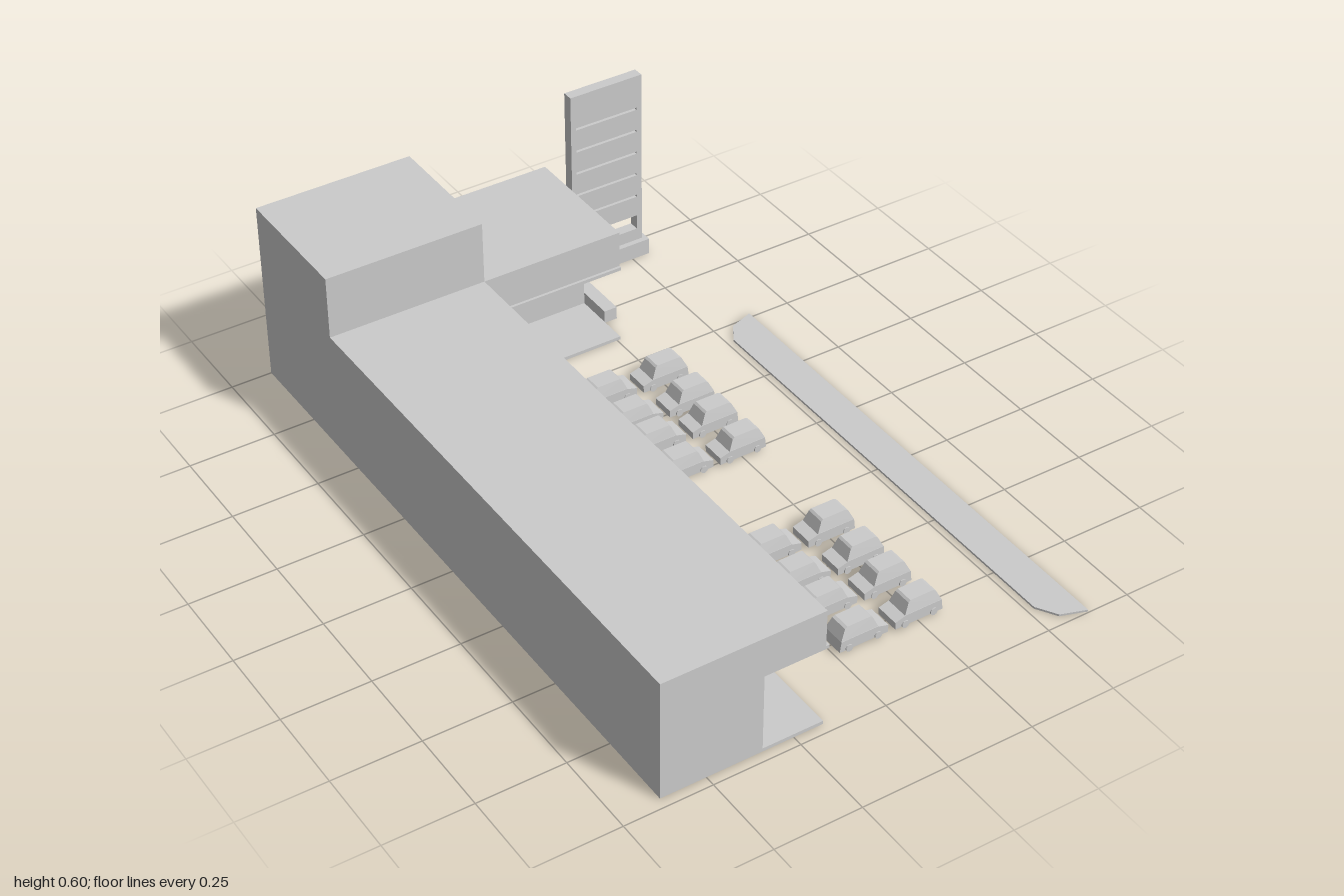
import * as THREE from 'three';

const material = new THREE.MeshStandardMaterial({ color: 0xcccccc, flatShading: true });

function addMesh(parent, name, geometry) {
  const mesh = new THREE.Mesh(geometry, material);
  mesh.name = name;
  parent.add(mesh);
  return mesh;
}

function polygon(points) {
  return new THREE.Shape(points.map(([x, y]) => new THREE.Vector2(x, y)));
}

function extrude(shape, depth) {
  return new THREE.ExtrudeGeometry(shape, { depth, bevelEnabled: false });
}

// Box given by its limits on each axis
function box(x0, x1, y0, y1, z0, z1) {
  return new THREE.BoxGeometry(x1 - x0, y1 - y0, z1 - z0)
    .translate((x0 + x1) / 2, (y0 + y1) / 2, (z0 + z1) / 2);
}

// Ground plan of [x, z] points raised from y0 to y1
function plan(points, y0, y1) {
  return extrude(polygon(points.map(([x, z]) => [x, -z])), y1 - y0)
    .rotateX(-Math.PI / 2).translate(0, y0, 0);
}

// L-shaped storey; only the inner faces (x, z) differ from level to level
function storey(innerX, innerZ, y0, y1) {
  return plan([[-0.63, -1], [0.26, -1], [0.26, innerZ], [innerX, innerZ],
    [innerX, 0.97], [-0.63, 0.97]], y0, y1);
}

function createBuilding() {
  const building = new THREE.Group();
  building.name = 'building';
  addMesh(building, 'walkway', storey(-0.165, -0.61, 0, 0.01));
  addMesh(building, 'recessedWalls', storey(-0.34, -0.8, 0.01, 0.24));
  addMesh(building, 'soffitTrim', storey(-0.155, -0.602, 0.24, 0.25));
  addMesh(building, 'upperFascia', storey(-0.165, -0.61, 0.25, 0.36));
  addMesh(building, 'cornerTower', box(-0.63, -0.165, 0.36, 0.545, -1, -0.61));
  // Sloping hood over the entrance
  const hood = polygon([[-0.34, 0.15], [-0.28, 0.15], [-0.28, 0.166], [-0.34, 0.19]]);
  addMesh(building, 'entranceHood', extrude(hood, 0.235).translate(0, 0, -0.427));
  addMesh(building, 'sidePlanter', box(0.262, 0.302, 0.004, 0.043, -0.915, -0.695));
  return building;
}

// Upright sign frame with one window and five slits cut through
function createSign() {
  const sign = new THREE.Group();
  sign.name = 'pylonSign';
  addMesh(sign, 'signBase', box(0.295, 0.556, 0, 0.05, -0.985, -0.922));
  const panel = polygon([[0.31, 0.05], [0.542, 0.05], [0.542, 0.6], [0.31, 0.6]]);
  const cut = (y0, y1) => panel.holes.push(
    new THREE.Path(polygon([[0.326, y0], [0.326, y1], [0.525, y1], [0.525, y0]]).getPoints()));
  cut(0.088, 0.134);
  for (let i = 0; i < 5; i++) cut(0.198 + i * 0.073, 0.205 + i * 0.073);
  addMesh(sign, 'signPanel', extrude(panel, 0.032).translate(0, 0, -0.97));
  return sign;
}

// Car geometries, nose towards +x, centred on x and z
function carParts() {
  const body = extrude(polygon([[-0.072, 0.01], [0.074, 0.01], [0.075, 0.032],
    [0.04, 0.042], [-0.068, 0.042]]), 0.07).translate(0, 0, -0.035);
  const cabin = extrude(polygon([[-0.068, 0.042], [0.045, 0.04], [0.031, 0.072],
    [0.025, 0.077], [-0.045, 0.077], [-0.053, 0.073]]), 0.068).translate(0, 0, -0.034);
  // Lean the cabin sides inwards towards the roof
  const p = cabin.attributes.position;
  for (let i = 0; i < p.count; i++) {
    p.setZ(i, p.getZ(i) * (1 - 6.5 * Math.max(0, p.getY(i) - 0.042)));
  }
  cabin.computeVertexNormals();
  const wheel = new THREE.CylinderGeometry(0.011, 0.011, 0.01, 10).rotateX(Math.PI / 2);
  return { body, cabin, wheel };
}

function createCar(parts) {
  const car = new THREE.Group();
  car.name = 'car';
  addMesh(car, 'carBody', parts.body);
  addMesh(car, 'carCabin', parts.cabin);
  for (const x of [-0.044, 0.044]) {
    for (const z of [-0.033, 0.033]) {
      addMesh(car, 'wheel', parts.wheel).position.set(x, 0.015, z);
    }
  }
  return car;
}

export function createModel() {
  const model = new THREE.Group();
  model.name = 'shoppingPlaza';
  model.add(createBuilding(), createSign());

  // Two facing columns of parked cars, in two blocks
  const parts = carParts();
  for (const z of [-0.394, -0.263, -0.151, -0.019, 0.386, 0.515, 0.63, 0.76]) {
    const left = createCar(parts);
    left.position.set(0.081, 0, z);
    const right = createCar(parts);
    right.position.set(0.249, 0, z + 0.004);
    right.rotation.y = Math.PI;
    model.add(left, right);
  }

  // Kerbed strip along the road
  addMesh(model, 'roadsideVerge', plan([[0.627, -0.51], [0.555, -0.485], [0.52, -0.43],
    [0.52, 0.915], [0.555, 0.972], [0.627, 0.997]], 0, 0.006));
  return model;
}
